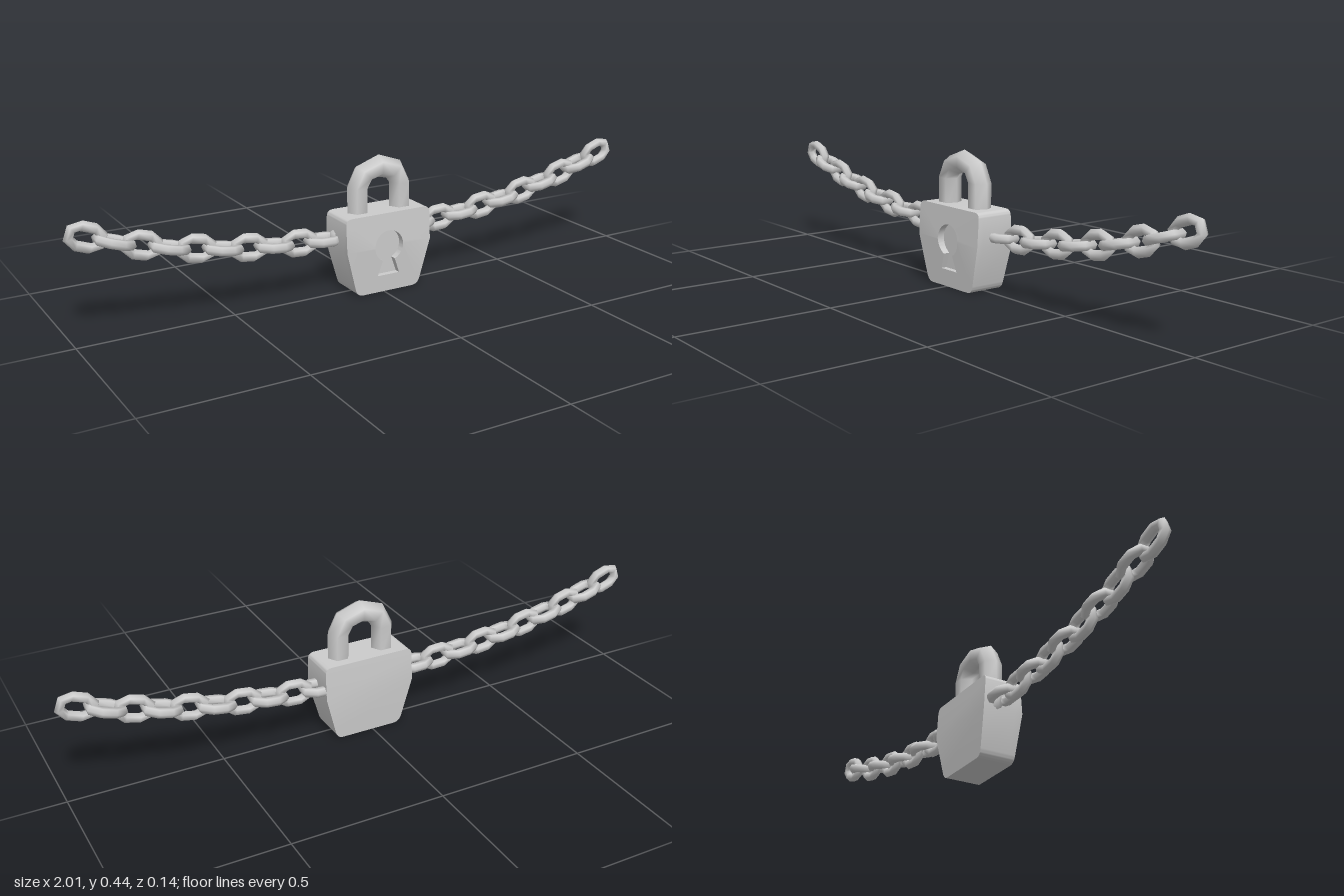
import * as THREE from 'three';
import { mergeGeometries, toCreasedNormals } from 'three/addons/utils/BufferGeometryUtils.js';

const material = new THREE.MeshStandardMaterial({ color: 0xcccccc });
const LOCK_X = 0.015;
const SPLIT = 0.155; // height where the lock body is thickest
const HOLE_R = 0.052;

// Hexagonal bar swept along [x, y, outward angle] stations running counter-clockwise
function hexBar(stations, radius, closed) {
  const sides = 6, positions = [], indices = [];
  for (const [x, y, angle] of stations) {
    for (let j = 0; j < sides; j++) {
      const a = (j / sides) * Math.PI * 2, out = radius * Math.cos(a);
      positions.push(x + Math.cos(angle) * out, y + Math.sin(angle) * out, radius * Math.sin(a));
    }
  }
  const n = stations.length;
  for (let i = 0; i < (closed ? n : n - 1); i++) {
    for (let j = 0; j < sides; j++) {
      const k = (j + 1) % sides, next = (i + 1) % n;
      const a = i * sides + j, b = next * sides + j, c = next * sides + k, d = i * sides + k;
      indices.push(a, b, d, b, c, d);
    }
  }
  const geometry = new THREE.BufferGeometry();
  geometry.setAttribute('position', new THREE.Float32BufferAttribute(positions, 3));
  geometry.setIndex(indices);
  geometry.computeVertexNormals();
  return geometry;
}

// Upper part of the body outline, optionally notched by the top of the keyhole
function upperShape(notched) {
  const s = new THREE.Shape();
  s.moveTo(0.155, SPLIT);
  s.lineTo(0.155, 0.243);
  s.quadraticCurveTo(0.155, 0.265, 0.133, 0.265);
  s.lineTo(-0.133, 0.265);
  s.quadraticCurveTo(-0.155, 0.265, -0.155, 0.243);
  s.lineTo(-0.155, SPLIT);
  if (notched) {
    s.lineTo(-HOLE_R, SPLIT);
    s.absarc(0, SPLIT, HOLE_R, Math.PI, 0, true);
  }
  return s;
}

// Tapered lower part, optionally notched by the rest of the keyhole
function lowerShape(notched) {
  const s = new THREE.Shape();
  s.moveTo(-0.155, SPLIT);
  s.lineTo(-0.121, 0.025);
  s.quadraticCurveTo(-0.115, 0, -0.092, 0);
  s.lineTo(0.092, 0);
  s.quadraticCurveTo(0.115, 0, 0.121, 0.025);
  s.lineTo(0.155, SPLIT);
  if (notched) {
    const neck = 1.13;
    s.lineTo(HOLE_R, SPLIT);
    s.absarc(0, SPLIT, HOLE_R, 0, -neck, true);
    s.lineTo(0.04, 0.057);
    s.lineTo(-0.04, 0.057);
    s.absarc(0, SPLIT, HOLE_R, -Math.PI + neck, -Math.PI, true);
  }
  return s;
}

// Half thickness of the body at a given height
function halfDepth(y) {
  return y > SPLIT ? 0.07 - 0.007 * (y - SPLIT) / (0.265 - SPLIT) : 0.061 + 0.009 * y / SPLIT;
}

function slab(shape, front) {
  const geometry = new THREE.ExtrudeGeometry(shape, { depth: 1, bevelEnabled: false, curveSegments: 8 });
  const p = geometry.attributes.position, floor = 0.045;
  for (let i = 0; i < p.count; i++) {
    const far = p.getZ(i) > 0.5, d = halfDepth(p.getY(i));
    p.setZ(i, front ? (far ? d : floor) : (far ? floor : -d));
  }
  return geometry;
}

function createPadlock() {
  const lock = new THREE.Group();
  lock.name = 'padlock';
  lock.position.x = LOCK_X;

  // Body: notched front slab over a plain back slab, which forms the keyhole floor
  const body = new THREE.Mesh(toCreasedNormals(mergeGeometries([
    slab(upperShape(true), true), slab(lowerShape(true), true),
    slab(upperShape(false), false), slab(lowerShape(false), false),
  ]), 0.6), material);
  body.name = 'lockBody';

  // Shackle: two straight legs joined by a four-segment arch
  const stations = [[0.078, 0.24, 0]];
  for (let i = 0; i <= 4; i++) {
    const a = (i / 4) * Math.PI;
    stations.push([0.078 * Math.cos(a), 0.345 + 0.061 * Math.sin(a), a]);
  }
  stations.push([-0.078, 0.24, Math.PI]);
  const shackle = new THREE.Mesh(hexBar(stations, 0.037, false), material);
  shackle.name = 'shackle';

  lock.add(body, shackle);
  return lock;
}

// Chain link: stadium loop with three-segment ends
function linkGeometry() {
  const stations = [];
  for (const side of [0, 1]) {
    for (let i = 0; i <= 3; i++) {
      const a = side * Math.PI - Math.PI / 2 + (i / 3) * Math.PI;
      stations.push([(side ? -0.022 : 0.022) + 0.03 * Math.cos(a), 0.03 * Math.sin(a), a]);
    }
  }
  return hexBar(stations, 0.016, true);
}

// One strand of alternating links, laid from its raised end down into the lock
function createChain(name, side, geometry) {
  const chain = new THREE.Group();
  chain.name = name;
  const height = (x) => 0.18 + 0.143 * Math.pow(x / 0.94, 2.4);
  let x = 0.94;
  for (let i = 0; i < 11; i++) {
    const tilt = Math.atan((height(x + 0.01) - height(x - 0.01)) / 0.02);
    const link = new THREE.Mesh(geometry, material);
    link.name = 'chainLink';
    link.position.set(side * x, height(x), -0.022);
    link.rotation.order = 'ZXY';
    link.rotation.set(i % 2 ? Math.PI / 2 : 0, 0, side * tilt);
    chain.add(link);
    x -= 0.087 * Math.cos(tilt);
  }
  return chain;
}

export function createModel() {
  const model = new THREE.Group();
  model.name = 'padlockOnChain';
  const link = linkGeometry();
  model.add(createPadlock(), createChain('leftChain', 1, link), createChain('rightChain', -1, link));
  return model;
}
